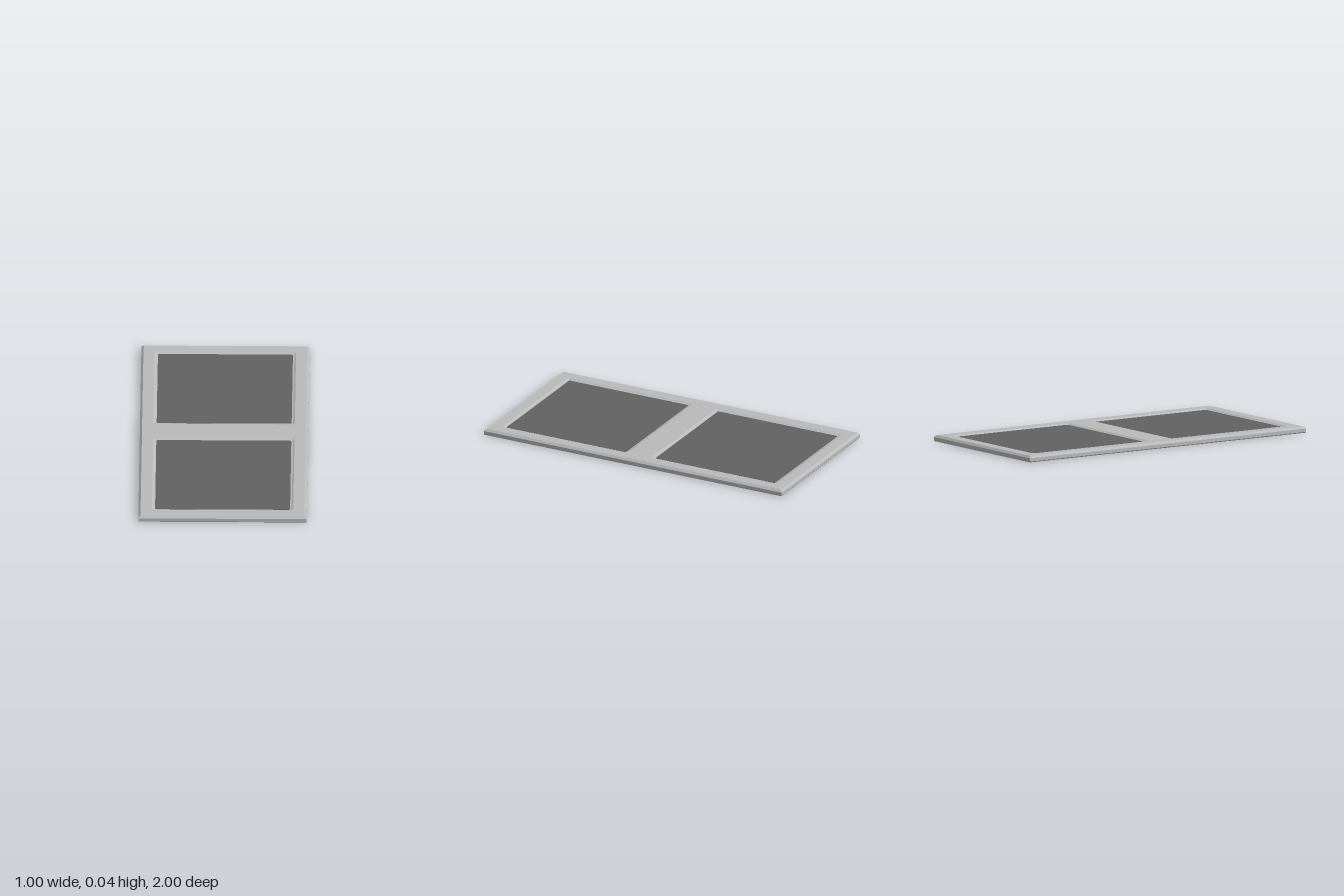
import * as THREE from 'three';

const H = 0.0375;          // slab thickness
const CENTRES = [-0.5, 0.5]; // panel centres along the length

// Counter-clockwise rectangle outline, with rounded corners when r > 0
function outline(hx, hy, r = 0, cy = 0) {
  const pts = [];
  const corners = [[1, -1], [1, 1], [-1, 1], [-1, -1]];
  const steps = r > 0 ? 4 : 0;
  corners.forEach(([sx, sy], k) => {
    for (let s = 0; s <= steps; s++) {
      const a = (k - 1 + (steps ? s / steps : 0)) * Math.PI / 2;
      pts.push(new THREE.Vector2(
        sx * (hx - r) + r * Math.cos(a),
        cy + sy * (hy - r) + r * Math.sin(a)));
    }
  });
  return pts;
}

// Flat-shaded wall through matching outlines at given heights
function wall(rings) {
  const pos = [];
  const put = (ring, i) => {
    const p = ring.pts[i % ring.pts.length];
    pos.push(p.x, ring.y, -p.y);
  };
  for (let j = 0; j < rings.length - 1; j++) {
    const lo = rings[j], hi = rings[j + 1];
    for (let i = 0; i < lo.pts.length; i++) {
      put(lo, i); put(lo, i + 1); put(hi, i + 1);
      put(lo, i); put(hi, i + 1); put(hi, i);
    }
  }
  const g = new THREE.BufferGeometry();
  g.setAttribute('position', new THREE.Float32BufferAttribute(pos, 3));
  g.computeVertexNormals();
  return g;
}

// Horizontal face with the panel openings cut out
function face(pts, holes, y, up) {
  const shape = new THREE.Shape(pts);
  holes.forEach(h => shape.holes.push(new THREE.Path(h)));
  const g = new THREE.ShapeGeometry(shape);
  g.rotateX(up ? -Math.PI / 2 : Math.PI / 2);
  g.translate(0, y, 0);
  return g;
}

export function createModel() {
  const group = new THREE.Group();
  group.name = 'twoPanelSlab';

  const frameMat = new THREE.MeshStandardMaterial({ color: 0xbababa });
  frameMat.name = 'light grey frame';
  const panelMat = new THREE.MeshStandardMaterial({ color: 0x626262 });
  panelMat.name = 'dark grey panel';

  const add = (name, geo, mat, parent) => {
    const m = new THREE.Mesh(geo, mat);
    m.name = name;
    parent.add(m);
    return m;
  };

  // Frame with bevelled outer edge
  const frame = new THREE.Group();
  frame.name = 'frame';
  group.add(frame);
  const bottom = outline(0.496, 0.996), top = outline(0.487, 0.987);
  const holes = CENTRES.map(c => outline(0.42, 0.42, 0.02, c));
  add('frameTop', face(top, holes, H, true), frameMat, frame);
  add('frameBottom', face(bottom, holes, 0, false), frameMat, frame);
  add('frameEdge', wall([
    { pts: bottom, y: 0 },
    { pts: outline(0.5, 1), y: 0.005 },
    { pts: outline(0.5, 1), y: 0.025 },
    { pts: top, y: H },
  ]), frameMat, frame);

  // Sloped rims of the openings, listed from top to bottom: [half size, radius, height]
  const rim = [[0.42, 0.02, H], [0.41, 0.015, 0.032], [0.4, 0.01, 0.03],
    [0.41, 0.015, 0.02], [0.42, 0.02, 0]];
  CENTRES.forEach((c, i) => {
    const side = i ? 'back' : 'front';
    add(side + 'Rim', wall(rim.map(([s, r, y]) => ({ pts: outline(s, s, r, c), y }))),
      frameMat, frame);

    // Thin inset panel
    const geo = new THREE.ExtrudeGeometry(new THREE.Shape(outline(0.401, 0.401, 0.01, c)),
      { depth: 0.002, bevelEnabled: false });
    geo.rotateX(-Math.PI / 2);
    geo.translate(0, 0.029, 0);
    add(side + 'Panel', geo, panelMat, group);
  });

  return group;
}
